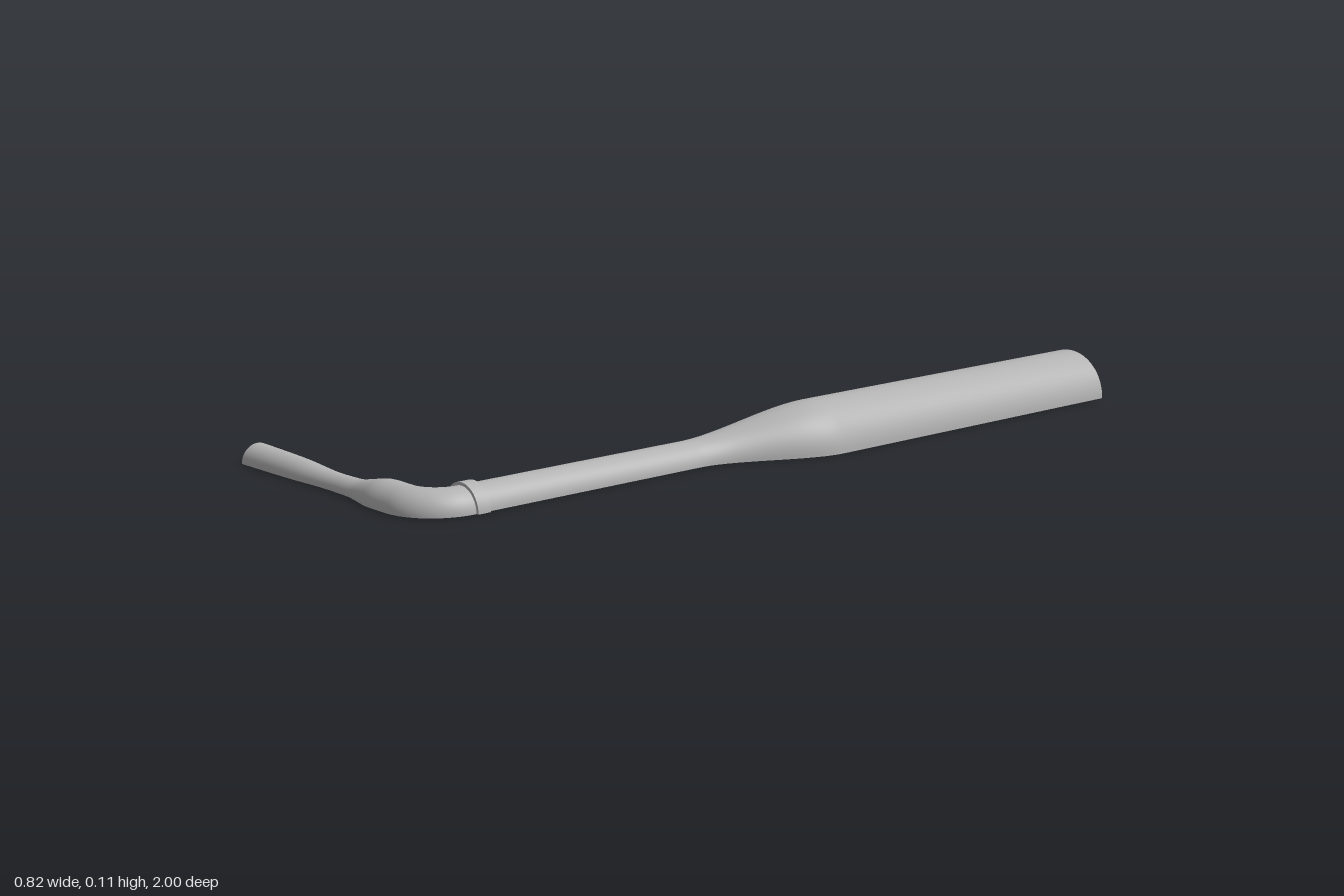
import * as THREE from 'three';

const ARC = 32; // segments across each half-round section

// Lofts half-round sections {x, z, r, dx, dz} lying flat on y = 0.
function halfRoundLoft(sections, capStart, capEnd) {
  const pos = [], idx = [];
  const add = (x, y, z) => pos.push(x, y, z) / 3 - 1;
  const rim = (s) => {
    const first = pos.length / 3;
    for (let j = 0; j <= ARC; j++) {
      const a = (Math.PI * j) / ARC;
      const c = s.r * Math.cos(a);
      add(s.x - s.dz * c, j === ARC ? 0 : s.r * Math.sin(a), s.z + s.dx * c);
    }
    return first;
  };
  // curved shell
  const rows = sections.map(rim);
  for (let i = 0; i < rows.length - 1; i++) {
    for (let j = 0; j < ARC; j++) {
      const a = rows[i] + j, b = rows[i + 1] + j;
      idx.push(a, b, a + 1, b, b + 1, a + 1);
    }
  }
  // flat underside
  const base = sections.map((s) => {
    const l = add(s.x - s.dz * s.r, 0, s.z + s.dx * s.r);
    add(s.x + s.dz * s.r, 0, s.z - s.dx * s.r);
    return l;
  });
  for (let i = 0; i < base.length - 1; i++) {
    const a = base[i], b = base[i + 1];
    idx.push(a, a + 1, b, a + 1, b + 1, b);
  }
  // end faces
  const cap = (s, flip) => {
    const f = rim(s);
    for (let j = 1; j < ARC; j++) {
      if (flip) idx.push(f, f + j + 1, f + j);
      else idx.push(f, f + j, f + j + 1);
    }
  };
  if (capStart) cap(sections[0], false);
  if (capEnd) cap(sections[sections.length - 1], true);
  const g = new THREE.BufferGeometry();
  g.setAttribute('position', new THREE.Float32BufferAttribute(pos, 3));
  g.setIndex(idx);
  g.computeVertexNormals();
  return g;
}

export function createModel() {
  const group = new THREE.Group();
  const grey = new THREE.MeshStandardMaterial({ color: 0xb4b4b4 });
  grey.name = 'plain grey';
  const part = (name, sections, capStart, capEnd) => {
    const mesh = new THREE.Mesh(halfRoundLoft(sections, capStart, capEnd), grey);
    mesh.name = name;
    group.add(mesh);
  };

  const left = 0.192, narrow = 0.051, wide = 0.108;
  const pipeX = left + narrow, bendZ = 0.868, bendR = 0.08;
  const alongZ = (z, r, x = left + r) => ({ x, z, r, dx: 0, dz: 1 });

  // long pipe: wide at the back, easing down to the narrow run with a straight left edge
  const pipe = [alongZ(-1, wide)];
  for (let i = 0; i <= 24; i++) {
    const t = i / 24;
    pipe.push(alongZ(-0.09 + 0.34 * t, wide + (narrow - wide) * THREE.MathUtils.smoothstep(t, 0, 1)));
  }
  pipe.push(alongZ(bendZ, narrow));
  part('longPipe', pipe, true, false);

  // raised collar just before the bend
  part('collar', [alongZ(0.832, 0.058, pipeX), alongZ(0.864, 0.058, pipeX)], true, true);

  // quarter-turn elbow
  const elbow = [];
  for (let i = 0; i <= 20; i++) {
    const a = (Math.PI / 2) * (i / 20);
    elbow.push({
      x: pipeX - bendR + bendR * Math.cos(a), z: bendZ + bendR * Math.sin(a),
      r: narrow + 0.001 * (i / 20), dx: -Math.sin(a), dz: Math.cos(a),
    });
  }
  part('elbow', elbow, false, false);

  // side arm with a slim waist
  const profile = new THREE.CatmullRomCurve3([
    [pipeX - bendR, 0.052], [0.09, 0.051], [0.045, 0.042], [0, 0.033], [-0.04, 0.031],
    [-0.1, 0.0305], [-0.15, 0.033], [-0.21, 0.037], [-0.28, 0.0395], [-0.41, 0.042],
  ].map(([x, r]) => new THREE.Vector3(x, r, 0)));
  part('sideArm', profile.getPoints(48).map((p) => ({
    x: p.x, z: bendZ + bendR, r: p.y, dx: -1, dz: 0,
  })), false, true);

  return group;
}
